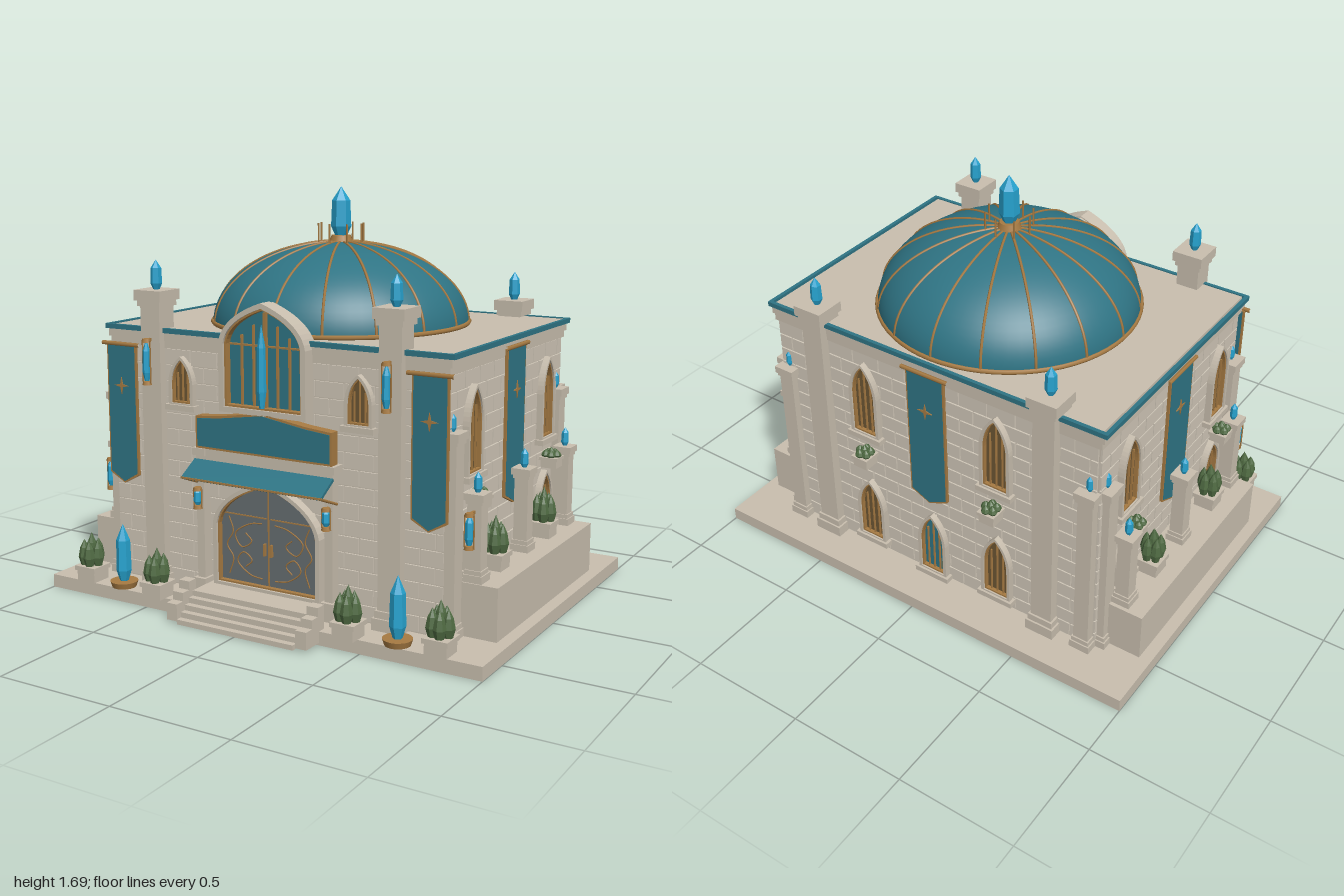
import * as THREE from 'three';
import { mergeGeometries } from 'three/addons/utils/BufferGeometryUtils.js';

const mat = (name, color, extra = {}) => Object.assign(new THREE.MeshStandardMaterial({ color, ...extra }), { name });
const M = {
  stone: mat('stone', 0xc8beae),
  brick: mat('brick', 0xcfc6b7),
  teal: mat('teal', 0x2f7484),
  gold: mat('gold', 0xa67a42),
  crystal: mat('crystal', 0x27a3cf, { flatShading: true }),
  wood: mat('wood', 0x6b5533),
  door: mat('doorGrey', 0x666d70),
  leaf: mat('leaf', 0x4f6a42, { flatShading: true }),
};
const V = (x, y, z) => new THREE.Vector3(x, y, z);
const WX = 0.765, ZF = 0.495, ZB = -0.595, ZC = -0.05; // wall planes

function add(parent, name, geo, m, x = 0, y = 0, z = 0) {
  const mesh = new THREE.Mesh(geo, m);
  mesh.name = name;
  mesh.position.set(x, y, z);
  parent.add(mesh);
  return mesh;
}
// box given by its width, bottom, top and depth
const box = (p, name, m, w, y0, y1, d, x = 0, z = 0) =>
  add(p, name, new THREE.BoxGeometry(w, y1 - y0, d), m, x, (y0 + y1) / 2, z);
const rod = (p, name, m, a, b, r) => add(p, name, new THREE.TubeGeometry(new THREE.LineCurve3(a, b), 1, r, 6), m);
const extrude = (shape, depth) => new THREE.ExtrudeGeometry(shape, { depth, bevelEnabled: false, curveSegments: 10 });
const polygon = pts => new THREE.Shape(pts.map(p => new THREE.Vector2(...p)));
function group(parent, name, x = 0, y = 0, z = 0) {
  const g = new THREE.Group();
  g.name = name;
  g.position.set(x, y, z);
  parent.add(g);
  return g;
}
// group on a wall, its local +z pointing outwards; u runs along the wall
function onWall(root, side, name, u, y) {
  const g = group(root, name);
  if (side === 'front') g.position.set(u, y, ZF);
  if (side === 'back') { g.position.set(u, y, ZB); g.rotation.y = Math.PI; }
  if (side === 'right') { g.position.set(WX, y, u); g.rotation.y = Math.PI / 2; }
  if (side === 'left') { g.position.set(-WX, y, u); g.rotation.y = -Math.PI / 2; }
  return g;
}
// pointed arch outline
function arch(w, h, rise, inset = 0) {
  const s = new THREE.Shape(), a = w / 2 - inset, t = h - inset, k = h - rise;
  s.moveTo(-a, inset);
  s.lineTo(a, inset);
  s.lineTo(a, k);
  s.quadraticCurveTo(a * 0.92, k + (t - k) * 0.62, 0, t);
  s.quadraticCurveTo(-a * 0.92, k + (t - k) * 0.62, -a, k);
  s.closePath();
  return s;
}
function archRing(w, h, rise, i0, i1) {
  const s = arch(w, h, rise, i0);
  s.holes.push(arch(w, h, rise, i1));
  return s;
}
function archWindow(g, w, h, rise, pane, bars) {
  add(g, 'windowFrame', extrude(archRing(w, h, rise, 0, 0.014), 0.035), M.stone);
  add(g, 'windowTrim', extrude(archRing(w, h, rise, 0.014, 0.021), 0.028), M.gold);
  add(g, 'windowPane', extrude(arch(w, h, rise, 0.02), 0.012), pane);
  for (const t of bars) box(g, 'mullion', M.gold, 0.005, 0.02, h - 0.02 - rise * Math.abs(t) * 1.1, 0.008, t * w / 2, 0.016);
  box(g, 'windowSill', M.stone, w + 0.025, -0.015, 0.008, 0.05, 0, 0.02);
}
function crystal(p, x, y, z, r, h, n = 6) {
  const prof = [[0, 0], [r * 0.55, 0], [r, h * 0.2], [r * 0.9, h * 0.72], [0, h]].map(q => new THREE.Vector2(...q));
  return add(p, 'crystal', new THREE.LatheGeometry(prof, n), M.crystal, x, y, z);
}
// square pillar with stepped base and cap, crystal on top
function pillar(root, name, x, z, w, y0, y1, cr, ch) {
  const g = group(root, name, x, 0, z);
  box(g, 'shaft', M.stone, w, y0, y1, w);
  box(g, 'base', M.stone, w * 1.35, y0, y0 + w * 0.5, w * 1.35);
  box(g, 'baseStep', M.stone, w * 1.18, y0 + w * 0.5, y0 + w * 0.8, w * 1.18);
  box(g, 'capStep', M.stone, w * 1.18, y1 - w * 0.7, y1 - w * 0.45, w * 1.18);
  box(g, 'cap', M.stone, w * 1.38, y1 - w * 0.45, y1, w * 1.38);
  crystal(g, 0, y1, 0, cr, ch);
}
function shrub(p, x, y, z, r, h) {
  const g = group(p, 'shrub', x, y, z);
  const prof = [[0, 0], [0.65, 0.05], [1, 0.35], [0.7, 0.7], [0, 1]];
  for (let i = 0; i < 6; i++) {
    const k = i ? 0.8 : 1, a = i * Math.PI * 0.4, d = i ? r * 0.62 : 0;
    const pts = prof.map(q => new THREE.Vector2(q[0] * r * 0.52, q[1] * h * k));
    add(g, 'foliage', new THREE.LatheGeometry(pts, 7), M.leaf, Math.cos(a) * d, 0, Math.sin(a) * d);
  }
}
function planter(p, x, y, z, w, h, sh) {
  const g = group(p, 'planter', x, y, z);
  box(g, 'pot', M.stone, w * 0.86, 0, h, w * 0.86);
  box(g, 'potRim', M.stone, w, h * 0.7, h, w);
  shrub(g, 0, h - 0.005, 0, w * 0.48, sh);
}
function banner(g, w, h) {
  const outline = i => [[-w / 2 + i, -i * 0.3], [-w / 2 + i, -h + 0.04 + i], [0, -h + i], [w / 2 - i, -h + 0.04 + i], [w / 2 - i, -i * 0.3]];
  add(g, 'bannerBorder', extrude(polygon(outline(0)), 0.012), M.gold, 0, 0, 0.022);
  add(g, 'bannerCloth', extrude(polygon(outline(0.007)), 0.016), M.teal, 0, 0, 0.02);
  const star = [];
  for (let i = 0; i < 8; i++) {
    const r = i % 2 ? 0.009 : 0.036, a = i * Math.PI / 4;
    star.push([Math.cos(a) * r, Math.sin(a) * r]);
  }
  add(g, 'bannerStar', extrude(polygon(star), 0.004), M.gold, 0, -0.17, 0.036);
  rod(g, 'bannerRod', M.gold, V(-w / 2 - 0.02, 0.004, 0.035), V(w / 2 + 0.02, 0.004, 0.035), 0.009);
}
function lantern(p, x, y, z, h) {
  const g = group(p, 'lantern', x, y, z);
  crystal(g, 0, 0.02, 0, 0.017, h - 0.03);
  for (const q of [0.01, h - 0.015]) add(g, 'lanternCap', new THREE.CylinderGeometry(0.016, 0.02, 0.014, 6), M.gold, 0, q, 0);
  for (const s of [-1, 1]) rod(g, 'lanternBar', M.gold, V(s * 0.019, 0.01, 0), V(s * 0.019, h - 0.015, 0), 0.003);
  box(g, 'lanternBracket', M.gold, 0.01, h - 0.02, h - 0.008, 0.04, 0, -0.02);
}
// running-bond courses of thin blocks on one wall
function bricks(root, side, centre, half) {
  const g = onWall(root, side, side + 'Brickwork', centre, 0), parts = [], L = 0.13, H = 0.066;
  for (let r = 0; r < 15; r++) for (let x = -half - (r % 2) * L / 2; x < half; x += L) {
    const a = Math.max(x, -half), b = Math.min(x + L, half) - 0.006;
    if (b - a < 0.02) continue;
    parts.push(new THREE.BoxGeometry(b - a, H - 0.006, 0.014).translate((a + b) / 2, 0.06 + (r + 0.5) * H, 0.001));
  }
  add(g, 'blocks', mergeGeometries(parts), M.brick);
}

export function createModel() {
  const root = new THREE.Group();
  root.name = 'domedHall';
  const D = ZF - ZB;

  // ground slab, side plinths, walls and roof
  box(root, 'groundSlab', M.stone, 2, 0, 0.055, 1.45, 0, -0.055);
  for (const s of [-1, 1]) box(root, 'sidePlinth', M.stone, 0.2, 0.055, 0.265, 0.98, s * 0.85, -0.055);
  box(root, 'walls', M.stone, WX * 2, 0.055, 1.06, D, 0, ZC);
  box(root, 'lowerCornice', M.stone, WX * 2 + 0.025, 1.05, 1.08, D + 0.025, 0, ZC);
  box(root, 'upperCornice', M.stone, WX * 2 + 0.045, 1.08, 1.112, D + 0.03, 0, ZC);
  box(root, 'roofDeck', M.stone, WX * 2 + 0.02, 1.11, 1.128, D + 0.01, 0, ZC);
  for (const s of [-1, 1]) {
    box(root, 'roofTrim', M.teal, 1.6, 1.112, 1.132, 0.016, 0, ZC + s * (D / 2 + 0.014));
    box(root, 'roofTrim', M.teal, 0.016, 1.112, 1.132, D + 0.04, s * 0.793, ZC);
  }
  bricks(root, 'front', 0, WX);
  bricks(root, 'back', 0, WX);
  bricks(root, 'right', ZC, D / 2);
  bricks(root, 'left', ZC, D / 2);

  // dome with ribs, finial posts and crystal
  const dome = group(root, 'dome', 0, 1.13, ZC), R = 0.535, DH = 0.335;
  add(dome, 'domeShell', new THREE.SphereGeometry(R, 64, 20, 0, Math.PI * 2, 0, Math.PI / 2).scale(1, DH / R, 1), M.teal);
  add(dome, 'domeRing', new THREE.TorusGeometry(R, 0.01, 6, 64).rotateX(Math.PI / 2), M.gold, 0, 0.008, 0);
  const ribPts = [];
  for (let i = 0; i <= 12; i++) ribPts.push(V(Math.cos(i * Math.PI / 24) * R, Math.sin(i * Math.PI / 24) * DH, 0));
  const rib = new THREE.TubeGeometry(new THREE.CatmullRomCurve3(ribPts), 24, 0.006, 5);
  for (let i = 0; i < 16; i++) add(dome, 'domeRib', rib, M.gold).rotation.y = i * Math.PI / 8;
  add(dome, 'finialBase', new THREE.CylinderGeometry(0.04, 0.05, 0.03, 16), M.gold, 0, 0.345, 0);
  crystal(dome, 0, 0.355, 0, 0.042, 0.205);
  for (let i = 0; i < 8; i++) {
    const x = Math.cos(i * Math.PI / 4) * 0.096, z = Math.sin(i * Math.PI / 4) * 0.096;
    rod(dome, 'finialPost', M.gold, V(x, 0.32, z), V(x, 0.41, z), 0.004);
  }

  for (const s of [-1, 1]) {
    // tall pillars, corner columns and side bollards
    pillar(root, 'frontPillar', s * 0.55, 0.49, 0.095, 0.055, 1.285, 0.024, 0.12);
    pillar(root, 'backPillar', s * 0.55, -0.595, 0.095, 0.055, 1.198, 0.024, 0.12);
    lantern(root, s * 0.55, 0.9, 0.565, 0.2);
    pillar(root, 'backCornerColumn', s * 0.73, -0.6, 0.066, 0.055, 0.84, 0.015, 0.07);
    for (const z of [0.465, -0.545]) pillar(root, 'sideCornerColumn', s * 0.77, z, 0.066, 0.055, 0.84, 0.015, 0.07);
    for (const z of [0.39, ZC, -0.49]) pillar(root, 'sideBollard', s * 0.842, z, 0.058, 0.265, 0.605, 0.016, 0.078);
    lantern(root, s * 0.842, 0.4, 0.46, 0.15);

    // planting and free-standing crystals
    planter(root, s * 0.815, 0.055, 0.63, 0.105, 0.065, 0.145);
    planter(root, s * 0.447, 0.055, 0.66, 0.105, 0.065, 0.145);
    for (const z of [0.215, -0.275]) planter(root, s * 0.84, 0.265, z, 0.1, 0.065, 0.15);
    add(root, 'crystalDish', new THREE.CylinderGeometry(0.058, 0.05, 0.025, 20), M.gold, s * 0.642, 0.068, 0.635);
    crystal(root, s * 0.642, 0.078, 0.635, 0.032, 0.245);

    // windows and banners
    const side = s > 0 ? 'right' : 'left', bars = [-0.4, 0, 0.4];
    for (const z of [0.315, -0.405]) {
      archWindow(onWall(root, side, 'sideUpperWindow', z, 0.645), 0.14, 0.35, 0.15, M.wood, bars);
      archWindow(onWall(root, side, 'sideLowerWindow', z, 0.285), 0.14, 0.225, 0.12, M.wood, bars);
      planter(root, s * 0.82, 0.53, z + 0.01, 0.08, 0.045, 0.045);
    }
    archWindow(onWall(root, 'back', 'backUpperWindow', s * 0.32, 0.66), 0.14, 0.35, 0.15, M.wood, bars);
    archWindow(onWall(root, 'back', 'backLowerWindow', s * 0.32, 0.11), 0.14, 0.31, 0.14, M.wood, bars);
    planter(root, s * 0.315, 0.53, -0.645, 0.08, 0.05, 0.05);
    archWindow(onWall(root, 'front', 'frontSmallWindow', s * 0.41, 0.82), 0.12, 0.205, 0.11, M.wood, bars);
    banner(onWall(root, 'front', 'frontBanner', s * 0.71, 1.05), 0.15, 0.585);
    banner(onWall(root, side, 'sideBanner', ZC, 1.085), 0.18, 0.63);

    // porch columns, step cheeks and awning struts
    const px = s * 0.3;
    box(root, 'porchColumn', M.stone, 0.036, 0.1, 0.66, 0.045, px, 0.535);
    box(root, 'porchColumnBase', M.stone, 0.056, 0.055, 0.13, 0.065, px, 0.54);
    box(root, 'porchColumnCap', M.stone, 0.06, 0.64, 0.67, 0.065, px, 0.535);
    lantern(root, px, 0.42, 0.575, 0.1);
    for (let i = 0; i < 3; i++) box(root, 'stepCheek', M.stone, 0.05, 0.01, 0.15 - i * 0.035, 0.045, px, 0.655 + i * 0.042);
    rod(root, 'awningStrut', M.gold, V(s * 0.315, 0.565, 0.648), V(s * 0.315, 0.515, 0.52), 0.006);
  }
  banner(onWall(root, 'back', 'backBanner', 0, 1.085), 0.18, 0.63);
  archWindow(onWall(root, 'back', 'backDoor', 0, 0.075), 0.14, 0.31, 0.14, M.teal, [-0.4, 0, 0.4]);

  // entrance steps
  for (let i = 0; i < 5; i++) {
    const zf = 0.77 - i * 0.027;
    box(root, 'entranceStep', M.stone, 0.54, 0.002, 0.022 * (i + 1), zf - 0.48, 0, (zf + 0.48) / 2);
  }

  // double door with scrollwork
  const door = onWall(root, 'front', 'mainDoor', 0, 0.105);
  add(door, 'doorFrame', extrude(archRing(0.5, 0.46, 0.2, 0, 0.018), 0.05), M.stone);
  add(door, 'doorTrim', extrude(archRing(0.5, 0.46, 0.2, 0.018, 0.025), 0.04), M.gold);
  add(door, 'doorLeaves', extrude(arch(0.5, 0.46, 0.2, 0.024), 0.02), M.door);
  box(door, 'doorSeam', M.gold, 0.005, 0.024, 0.42, 0.006, 0, 0.021);
  const scrolls = [
    [[0.03, 0.05], [0.09, 0.06], [0.15, 0.11], [0.12, 0.15], [0.08, 0.12], [0.11, 0.09]],
    [[0.03, 0.28], [0.09, 0.27], [0.16, 0.22], [0.13, 0.17], [0.08, 0.2], [0.11, 0.23]],
    [[0.19, 0.05], [0.17, 0.12], [0.2, 0.17], [0.17, 0.23], [0.19, 0.29]],
  ];
  for (const s of [-1, 1]) {
    for (const pts of scrolls) {
      const c = new THREE.CatmullRomCurve3(pts.map(p => V(s * p[0], p[1], 0.021)));
      add(door, 'doorScroll', new THREE.TubeGeometry(c, 24, 0.003, 5), M.gold);
    }
    box(door, 'doorHandle', M.gold, 0.008, 0.15, 0.2, 0.016, s * 0.016, 0.026);
    box(door, 'doorHinge', M.gold, 0.2, 0.3, 0.305, 0.005, s * 0.11, 0.021);
  }

  // awning and gabled board above the door
  const awning = add(root, 'awning', new THREE.BoxGeometry(0.645, 0.012, 0.108), M.teal, 0, 0.592, 0.603);
  awning.rotation.x = 0.55;
  box(root, 'awningEdge', M.gold, 0.65, 0.562, 0.57, 0.008, 0, 0.65);
  box(root, 'lintel', M.stone, 0.6, 0.6, 0.67, 0.065, 0, 0.525);
  const gable = i => polygon([[-0.315 + i, i], [0.315 - i, i], [0.315 - i, 0.13 - i], [0.2, 0.14 - i], [0, 0.17 - i],
    [-0.2, 0.14 - i], [-0.315 + i, 0.13 - i]]);
  add(root, 'boardBorder', extrude(gable(0), 0.045), M.gold, 0, 0.67, 0.515);
  add(root, 'boardFace', extrude(gable(0.009), 0.006), M.teal, 0, 0.67, 0.557);

  // great arched window rising above the roof line
  const great = onWall(root, 'front', 'greatWindow', 0, 0.83);
  add(great, 'greatBacking', extrude(arch(0.39, 0.435, 0.17), 0.03), M.stone, 0, 0, -0.025);
  add(great, 'greatFrame', extrude(archRing(0.4, 0.44, 0.17, 0, 0.022), 0.065), M.stone);
  add(great, 'greatTrim', extrude(archRing(0.4, 0.44, 0.17, 0.022, 0.03), 0.055), M.gold);
  add(great, 'greatGlass', extrude(arch(0.4, 0.44, 0.17, 0.028), 0.025), M.teal);
  for (const x of [-0.11, -0.055, 0.055, 0.11]) box(great, 'greatMullion', M.gold, 0.007, 0.025, 0.39 - Math.abs(x) * 0.75, 0.012, x, 0.03);
  box(great, 'greatTransom', M.gold, 0.34, 0.265, 0.272, 0.012, 0, 0.03);
  box(great, 'greatSpine', M.gold, 0.014, 0.025, 0.4, 0.014, 0, 0.032);
  crystal(great, 0, 0.03, 0.06, 0.018, 0.33);
  return root;
}
